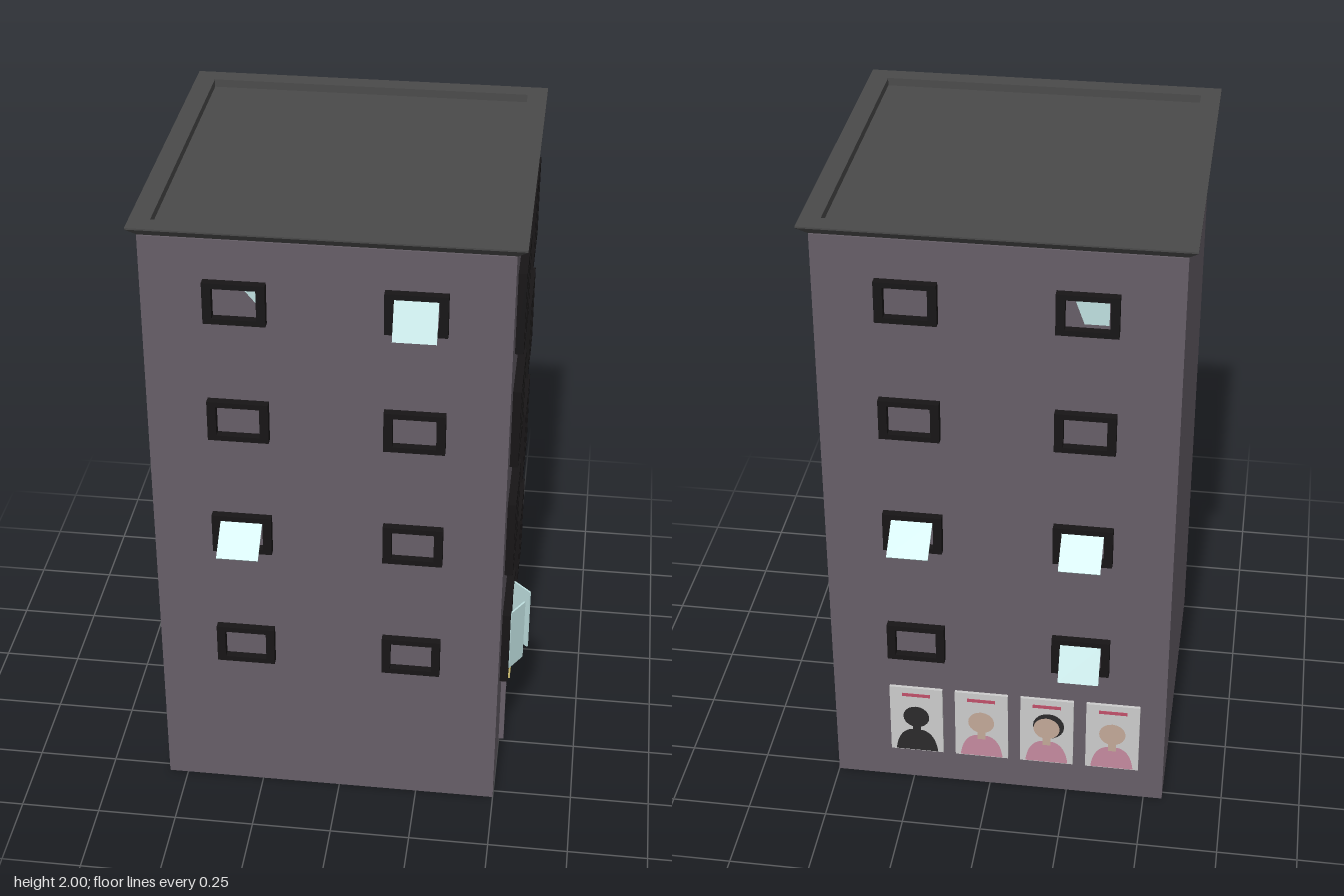
import * as THREE from 'three';

const mat = (color, double) => new THREE.MeshStandardMaterial({
  color, flatShading: true, side: double ? THREE.DoubleSide : THREE.FrontSide });
const WALL = mat(0x665e67), ROOF = mat(0x4a4a4a), FRAME = mat(0x171516);
const GLASS = mat(0xbfe0e0, true), BRASS = mat(0xc2b36a);
const PAPER = mat(0xc4c0c4), SKIN = mat(0xc2a898), PINK = mat(0xc58a9f), DARK = mat(0x2c2a2c), RED = mat(0xc0506a);

const CX = -0.03, HALF = 0.53;
const TOPS = [1.84, 1.45, 1.05, 0.63]; // top edge of the windows on each floor

function add(parent, name, geometry, material, x = 0, y = 0, z = 0) {
  const mesh = new THREE.Mesh(geometry, material);
  mesh.name = name;
  mesh.position.set(x, y, z);
  parent.add(mesh);
  return mesh;
}
const box = (w, h, d) => new THREE.BoxGeometry(w, h, d);

function polygon(points) {
  return new THREE.Shape(points.map(([x, y]) => new THREE.Vector2(x, y)));
}
const rect = (x0, y0, x1, y1) => polygon([[x0, y0], [x1, y0], [x1, y1], [x0, y1]]);

// Flat frame with rectangular openings, lying against the wall plane z = 0
function frameGeometry(w, h, holes, depth = 0.025) {
  const shape = rect(-w / 2, -h / 2, w / 2, h / 2);
  holes.forEach(r => shape.holes.push(rect(...r)));
  return new THREE.ExtrudeGeometry(shape, { depth, bevelEnabled: false });
}

// Group whose local +z points out of a wall
function wallGroup(parent, name, angle, x, z) {
  const g = new THREE.Group();
  g.name = name;
  g.rotation.y = angle;
  g.position.set(x, 0, z);
  parent.add(g);
  return g;
}

// Small window; a tilt angle adds a top-hung pane swung outwards
function smallWindow(wall, x, top, tilt) {
  const g = new THREE.Group();
  g.name = 'smallWindow';
  g.position.set(x, top - 0.065, 0);
  wall.add(g);
  add(g, 'smallWindowFrame', frameGeometry(0.18, 0.13, [[-0.064, -0.048, 0.064, 0.048]]), FRAME);
  if (tilt) {
    const pane = add(g, 'openPane', box(0.126, 0.118, 0.005).translate(0, -0.059, 0), GLASS, 0, 0.046, 0.021);
    pane.rotation.x = -tilt;
  }
  return g;
}

// Tall window with two casements
function doubleWindow(wall, x, top, open) {
  const g = new THREE.Group();
  g.name = 'doubleWindow';
  g.position.set(x, top - 0.131, 0);
  wall.add(g);
  add(g, 'doubleWindowFrame', frameGeometry(0.26, 0.262,
    [[-0.101, -0.11, -0.019, 0.11], [0.019, -0.11, 0.101, 0.11]]), FRAME);
  for (const s of [-1, 1]) {
    if (open) {
      const pane = add(g, 'openCasement', box(0.076, 0.22, 0.006).translate(-s * 0.038, 0, 0), GLASS, s * 0.085, 0, 0.024);
      pane.rotation.y = s > 0 ? 0.8 : -0.55;
    } else {
      add(g, 'casementGlass', box(0.082, 0.22, 0.006), GLASS, s * 0.06, 0, 0.004);
    }
  }
}

// Portrait poster: paper, header strip, shoulders and head
function poster(wall, x, { skin, coat, hair }) {
  const g = new THREE.Group();
  g.name = 'poster';
  g.position.set(x, 0.247, 0);
  wall.add(g);
  add(g, 'posterPaper', box(0.17, 0.256, 0.01), PAPER, 0, 0, 0.005);
  add(g, 'posterHeader', box(0.09, 0.012, 0.002), RED, 0, 0.1, 0.0105);
  const bust = new THREE.Shape();
  bust.moveTo(-0.068, -0.125);
  bust.quadraticCurveTo(-0.06, -0.05, -0.018, -0.04);
  bust.lineTo(0.018, -0.04);
  bust.quadraticCurveTo(0.06, -0.05, 0.068, -0.125);
  add(g, 'posterShoulders', new THREE.ShapeGeometry(bust), coat, 0, 0, 0.0115);
  add(g, 'posterNeck', box(0.026, 0.04, 0.002), skin, 0, -0.035, 0.0115);
  if (hair) add(g, 'posterHair', new THREE.CircleGeometry(0.05, 20), DARK, 0.006, 0.024, 0.0125);
  add(g, 'posterHead', new THREE.CircleGeometry(0.042, 20), skin, 0, 0.015, 0.0145);
}

// Double glass door with surround and pull bars
function door(wall) {
  const g = new THREE.Group();
  g.name = 'entrance';
  wall.add(g);
  const surround = polygon([[-0.24, 0], [-0.22, 0], [-0.22, 0.26], [0.22, 0.26], [0.22, 0], [0.24, 0], [0.24, 0.27], [-0.24, 0.27]]);
  add(g, 'doorSurround', new THREE.ExtrudeGeometry(surround, { depth: 0.016, bevelEnabled: false }), WALL);
  for (const s of [-1, 1]) {
    add(g, 'doorPost', box(0.014, 0.26, 0.012), FRAME, s * 0.214, 0.13, 0.006);
    add(g, 'doorGlass', box(0.203, 0.26, 0.008), GLASS, s * 0.105, 0.13, 0.004);
    add(g, 'doorHandle', box(0.065, 0.014, 0.008), BRASS, s * 0.037, 0.13, 0.018);
    add(g, 'handleMount', box(0.008, 0.008, 0.014), BRASS, s * 0.045, 0.13, 0.011);
  }
  add(g, 'doorGap', box(0.007, 0.26, 0.009), WALL, 0, 0.13, 0.0045);
}

export function createModel() {
  const model = new THREE.Group();
  model.name = 'apartmentBlock';

  add(model, 'walls', box(HALF * 2, 1.965, HALF * 2), WALL, CX, 0.9825, 0);

  // Flared cornice with a sunken flat roof
  const profile = [[0, 1.968], [0.53, 1.968], [0.558, 1.995], [0.558, 2], [0.497, 2], [0.497, 1.975], [0, 1.975]]
    .map(([r, y]) => new THREE.Vector2(r * Math.SQRT2, y));
  add(model, 'roof', new THREE.LatheGeometry(profile, 4, Math.PI / 4), ROOF, CX + 0.002, 0, 0);

  const front = wallGroup(model, 'frontWall', 0, 0, HALF);
  const back = wallGroup(model, 'backWall', Math.PI, 0, -HALF);
  const side = wallGroup(model, 'entranceWall', Math.PI / 2, CX + HALF, 0);

  // Tilt of the open panes per floor, at x = -0.29 and x = 0.23
  const frontTilt = [[0, 0.42], [0, 0], [0.9, 0], [0, 0]];
  const backTilt = [[0, 0], [0, 0], [0.9, 0.9], [0.5, 0]];
  TOPS.forEach((top, i) => {
    [-0.288, 0.228].forEach((x, j) => {
      const f = smallWindow(front, x, top, frontTilt[i][j]);
      const b = smallWindow(back, -x, top, backTilt[i][j]);
      if (i === 0 && j === 0) {
        // Panes swung inwards, only partly clear of the wall
        add(f, 'inwardPane', new THREE.ShapeGeometry(polygon([[0.02, 0.048], [0.064, -0.005], [0.064, 0.048]])), GLASS, 0, 0, 0.004);
        add(b, 'inwardPane', new THREE.ShapeGeometry(polygon([[-0.04, 0.048], [-0.01, -0.035], [0.06, -0.035], [0.06, 0.048]])), GLASS, 0, 0, 0.004);
      }
    });
    doubleWindow(side, -0.26, top, i === 3);
    doubleWindow(side, 0.26, top, false);
  });

  door(side);

  const looks = [
    { skin: DARK, coat: DARK }, { skin: SKIN, coat: PINK },
    { skin: SKIN, coat: PINK, hair: true }, { skin: SKIN, coat: PINK },
  ];
  looks.forEach((look, i) => poster(back, -0.235 + i * 0.21, look));

  return model;
}
